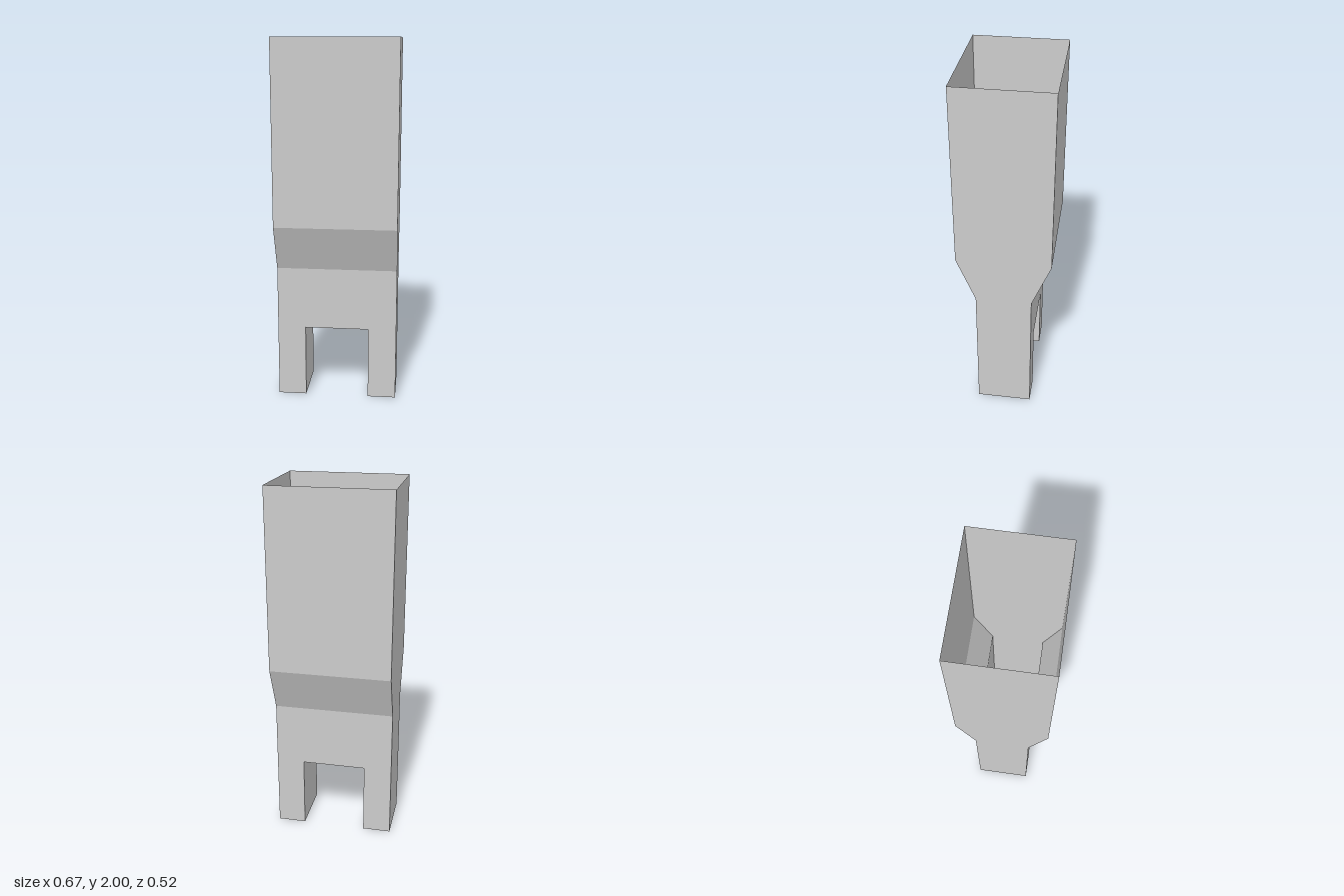
import * as THREE from 'three';

const W = 0.333;                 // half width
const D_TOP = 0.258, D_LOW = 0.154; // half depths of upper and lower sections
const Y_TOP = 2, Y_FLARE = 1.005, Y_NECK = 0.75;
const NOTCH_W = 0.177, NOTCH_H = 0.405;

const material = new THREE.MeshStandardMaterial({
  color: 0xcccccc, flatShading: true, side: THREE.DoubleSide,
});

function flatShape(points) {
  return new THREE.ShapeGeometry(new THREE.Shape(points.map(([x, y]) => new THREE.Vector2(x, y))));
}

// Sheet spanning x = -w..w between two (y, z) edges
function sheet(w, [y0, z0], [y1, z1]) {
  const g = new THREE.BufferGeometry();
  g.setAttribute('position', new THREE.Float32BufferAttribute(
    [-w, y0, z0, w, y0, z0, w, y1, z1, -w, y1, z1], 3));
  g.setIndex([0, 1, 2, 0, 2, 3]);
  g.computeVertexNormals();
  return g;
}

export function createModel() {
  const group = new THREE.Group();
  const add = (name, geometry) => {
    const mesh = new THREE.Mesh(geometry, material);
    mesh.name = name;
    group.add(mesh);
    return mesh;
  };

  // Front and back: upper panel, sloped shoulder and notched lower panel
  for (const [name, angle] of [['front', 0], ['back', Math.PI]]) {
    add(name + 'UpperPanel', sheet(W, [Y_FLARE, D_TOP], [Y_TOP, D_TOP])).rotation.y = angle;
    add(name + 'Shoulder', sheet(W, [Y_NECK, D_LOW], [Y_FLARE, D_TOP])).rotation.y = angle;
    const lower = flatShape([
      [-W, 0], [-NOTCH_W, 0], [-NOTCH_W, NOTCH_H], [NOTCH_W, NOTCH_H],
      [NOTCH_W, 0], [W, 0], [W, Y_NECK], [-W, Y_NECK],
    ]).translate(0, 0, D_LOW);
    add(name + 'LegPanel', lower).rotation.y = angle;
  }

  // Left and right: full-height outer walls and the inner leg walls
  for (const [name, s] of [['left', 1], ['right', -1]]) {
    const outer = flatShape([
      [-D_LOW, 0], [D_LOW, 0], [D_LOW, Y_NECK], [D_TOP, Y_FLARE],
      [D_TOP, Y_TOP], [-D_TOP, Y_TOP], [-D_TOP, Y_FLARE], [-D_LOW, Y_NECK],
    ]);
    add(name + 'OuterWall', outer.rotateY(s * Math.PI / 2).translate(s * W, 0, 0));
    const inner = new THREE.PlaneGeometry(2 * D_LOW, NOTCH_H);
    add(name + 'InnerLegWall',
      inner.rotateY(-s * Math.PI / 2).translate(s * NOTCH_W, NOTCH_H / 2, 0));
  }

  // Ceiling of the notch between the legs, facing down
  add('notchCeiling', sheet(NOTCH_W, [NOTCH_H, -D_LOW], [NOTCH_H, D_LOW]));

  return group;
}
